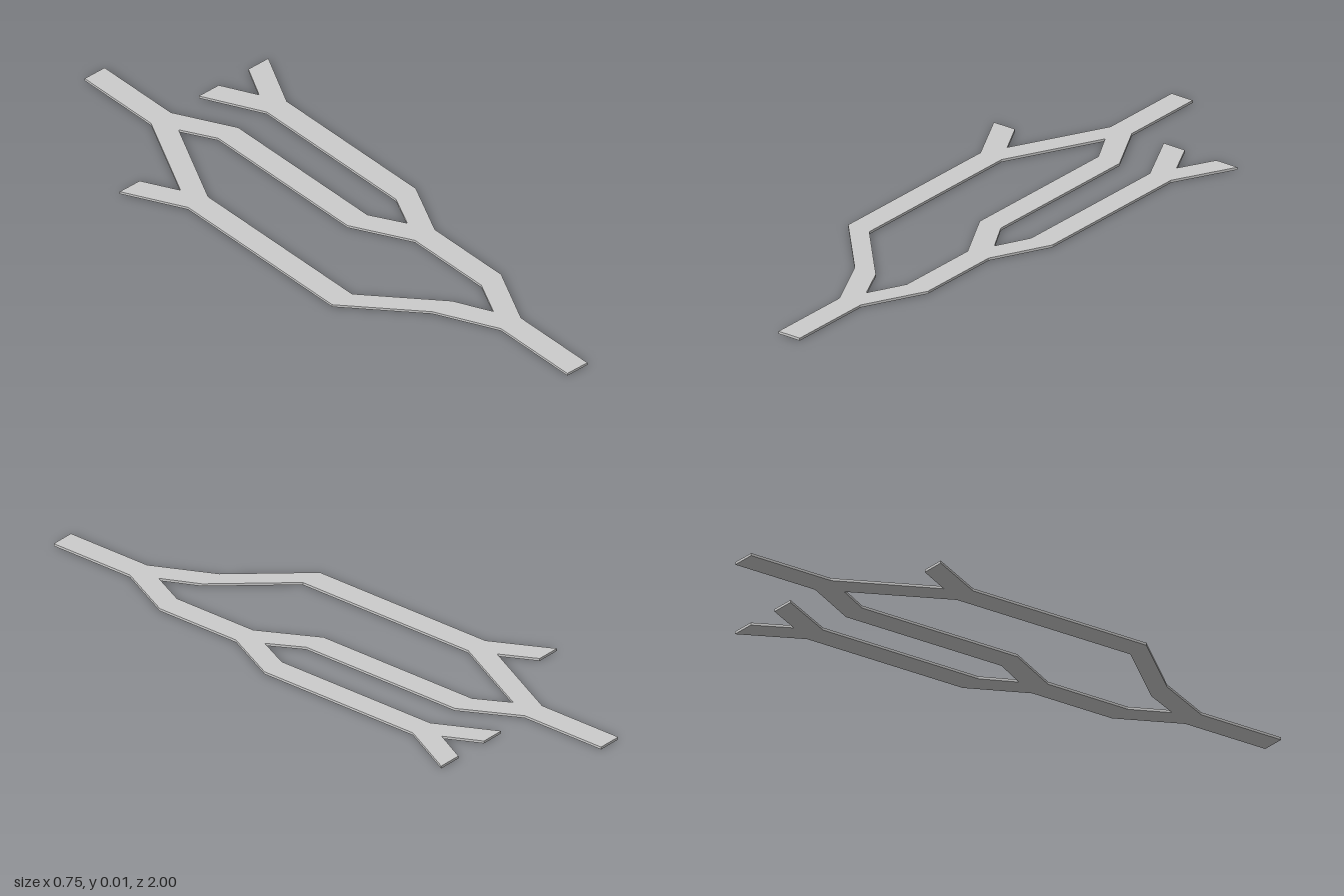
import * as THREE from 'three';

export function createModel() {
  const group = new THREE.Group();
  const h = 0.039;      // half the road width, measured along x
  const thick = 0.008;

  // Centre-line nodes [x, z] of the road network
  const n = {
    front: [0.05, 1], frontFork: [0.05, 0.71],
    rightBend: [0.147, 0.515], midFork: [0.147, 0.225],
    outerLow: [0.238, 0.04], outerFork: [0.238, -0.525],
    outerTip: [0.336, -0.715], innerTip: [0.142, -0.715],
    innerLow: [0.048, 0.04], innerHigh: [0.048, -0.525],
    backFork: [-0.05, -0.71], back: [-0.05, -1],
    sideTip: [-0.338, -0.525], sideFork: [-0.24, -0.335],
    sideLow: [-0.24, 0.295], sideBend: [-0.045, 0.515],
  };
  // Road edges either side of a node, and the crotch of a fork
  const L = k => new THREE.Vector2(n[k][0] - h, -n[k][1]);
  const R = k => new THREE.Vector2(n[k][0] + h, -n[k][1]);
  const V = (k, dz) => new THREE.Vector2(n[k][0], -(n[k][1] + dz));
  const d = 0.077;

  // Outer outline, including the open bay between the two right-hand roads
  const outline = new THREE.Shape([
    R('front'), R('frontFork'), R('rightBend'), R('midFork'), R('outerLow'), R('outerFork'),
    R('outerTip'), L('outerTip'), V('outerFork', -d), R('innerTip'), L('innerTip'),
    L('outerFork'), L('outerLow'), V('midFork', -d), R('innerLow'), R('innerHigh'),
    R('backFork'), R('back'), L('back'), L('backFork'),
    V('sideFork', -d), R('sideTip'), L('sideTip'),
    L('sideFork'), L('sideLow'), L('sideBend'), L('frontFork'), L('front'),
  ]);
  // Enclosed area in the middle
  outline.holes.push(new THREE.Path([
    V('frontFork', -d), R('sideBend'), R('sideLow'), R('sideFork'), V('backFork', d),
    L('innerHigh'), L('innerLow'), L('midFork'), L('rightBend'),
  ]));

  const geometry = new THREE.ExtrudeGeometry(outline, { depth: thick, bevelEnabled: false });
  geometry.rotateX(-Math.PI / 2);
  const road = new THREE.Mesh(geometry, new THREE.MeshStandardMaterial({ color: 0xcccccc }));
  road.name = 'roadNetwork';
  group.add(road);
  return group;
}
